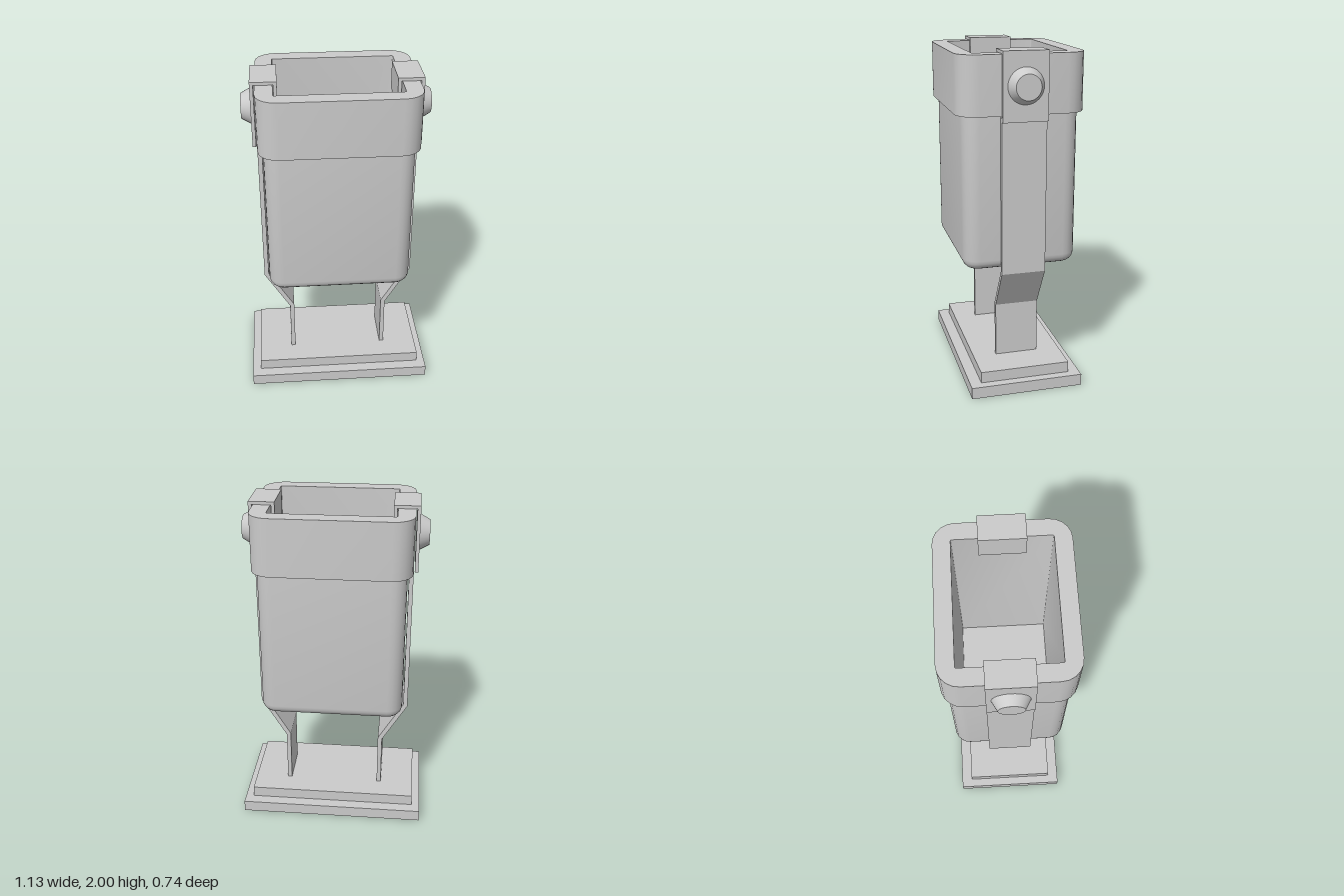
import * as THREE from 'three';
import { toCreasedNormals } from 'three/addons/utils/BufferGeometryUtils.js';

const grey = new THREE.MeshStandardMaterial({ color: 0xcccccc });
const greyThin = new THREE.MeshStandardMaterial({ color: 0xcccccc, side: THREE.DoubleSide });

// Rounded rectangle ring: half width, half depth, corner radius, height
function ring([hx, hz, r, y], steps) {
  const pts = [];
  for (let c = 0; c < 4; c++) {
    const sx = c === 0 || c === 3 ? 1 : -1, sz = c < 2 ? 1 : -1;
    for (let i = 0; i <= steps; i++) {
      const a = (c + i / steps) * Math.PI / 2;
      pts.push(sx * (hx - r) + r * Math.cos(a), y, sz * (hz - r) + r * Math.sin(a));
    }
  }
  return pts;
}

// Skin through a sequence of rings, ordered so that faces point outwards going up
function loft(rings, steps) {
  const n = 4 * (steps + 1), index = [];
  for (let j = 0; j < rings.length - 1; j++) {
    for (let i = 0; i < n; i++) {
      const a = j * n + i, b = j * n + (i + 1) % n;
      index.push(a, a + n, b, b, a + n, b + n);
    }
  }
  const g = new THREE.BufferGeometry();
  g.setAttribute('position', new THREE.Float32BufferAttribute(rings.flatMap((p) => ring(p, steps)), 3));
  g.setIndex(index);
  return toCreasedNormals(g, 0.6);
}

// Side profile (x, y) given depth along z, centred
function strip(points, depth) {
  const shape = new THREE.Shape(points.map(([x, y]) => new THREE.Vector2(x, y)));
  const g = new THREE.ExtrudeGeometry(shape, { depth, bevelEnabled: false });
  return g.translate(0, 0, -depth / 2);
}

function add(parent, name, geometry, material = grey) {
  const mesh = new THREE.Mesh(geometry, material);
  mesh.name = name;
  parent.add(mesh);
  return mesh;
}

export function createModel() {
  const model = new THREE.Group();
  model.name = 'hangingBin';

  // Stepped base, a thin shell open underneath
  add(model, 'base', loft([
    [0.563, 0.337, 0, 0], [0.563, 0.337, 0, 0.07],
    [0.512, 0.27, 0, 0.07], [0.512, 0.27, 0, 0.137], [0, 0, 0, 0.137],
  ], 1), greyThin);

  // Bin: rounded bottom, body, collar, rim, then the inside down to the floor
  const bin = [[0, 0, 0, 0.74]];
  const round = 0.06;
  for (let i = 0; i <= 5; i++) {
    const a = i / 5 * Math.PI / 2, inset = round * (1 - Math.sin(a));
    bin.push([0.425 - inset, 0.337 - inset, 0.09 - inset, 0.74 + round * (1 - Math.cos(a))]);
  }
  bin.push(
    [0.425, 0.337, 0.09, 1.645], [0.456, 0.37, 0.12, 1.645],
    [0.456, 0.37, 0.12, 1.98], [0.357, 0.273, 0.008, 1.98],
    [0.352, 0.268, 0.008, 0.8], [0, 0, 0, 0.8],
  );
  add(model, 'bin', loft(bin, 5), greyThin);

  // Bent strap, clip over the rim and pivot knob on each side
  const strapGeo = strip([
    [0.28, 0.137], [0.306, 0.137], [0.306, 0.467], [0.458, 0.72],
    [0.458, 1.635], [0.432, 1.635], [0.432, 0.73], [0.28, 0.477],
  ], 0.26);
  const clipGeo = strip([
    [0.463, 1.612], [0.483, 1.612], [0.483, 2], [0.333, 2],
    [0.333, 1.84], [0.353, 1.84], [0.353, 1.982], [0.463, 1.982],
  ], 0.26);
  const knobGeo = new THREE.CylinderGeometry(0.072, 0.103, 0.057, 32);
  knobGeo.rotateZ(-Math.PI / 2).translate(0.5115, 1.81, 0);

  for (const side of ['left', 'right']) {
    const support = new THREE.Group();
    support.name = side + 'Support';
    add(support, side + 'Strap', strapGeo);
    add(support, side + 'Clip', clipGeo);
    add(support, side + 'Knob', knobGeo);
    if (side === 'right') support.rotation.y = Math.PI;
    model.add(support);
  }
  return model;
}
